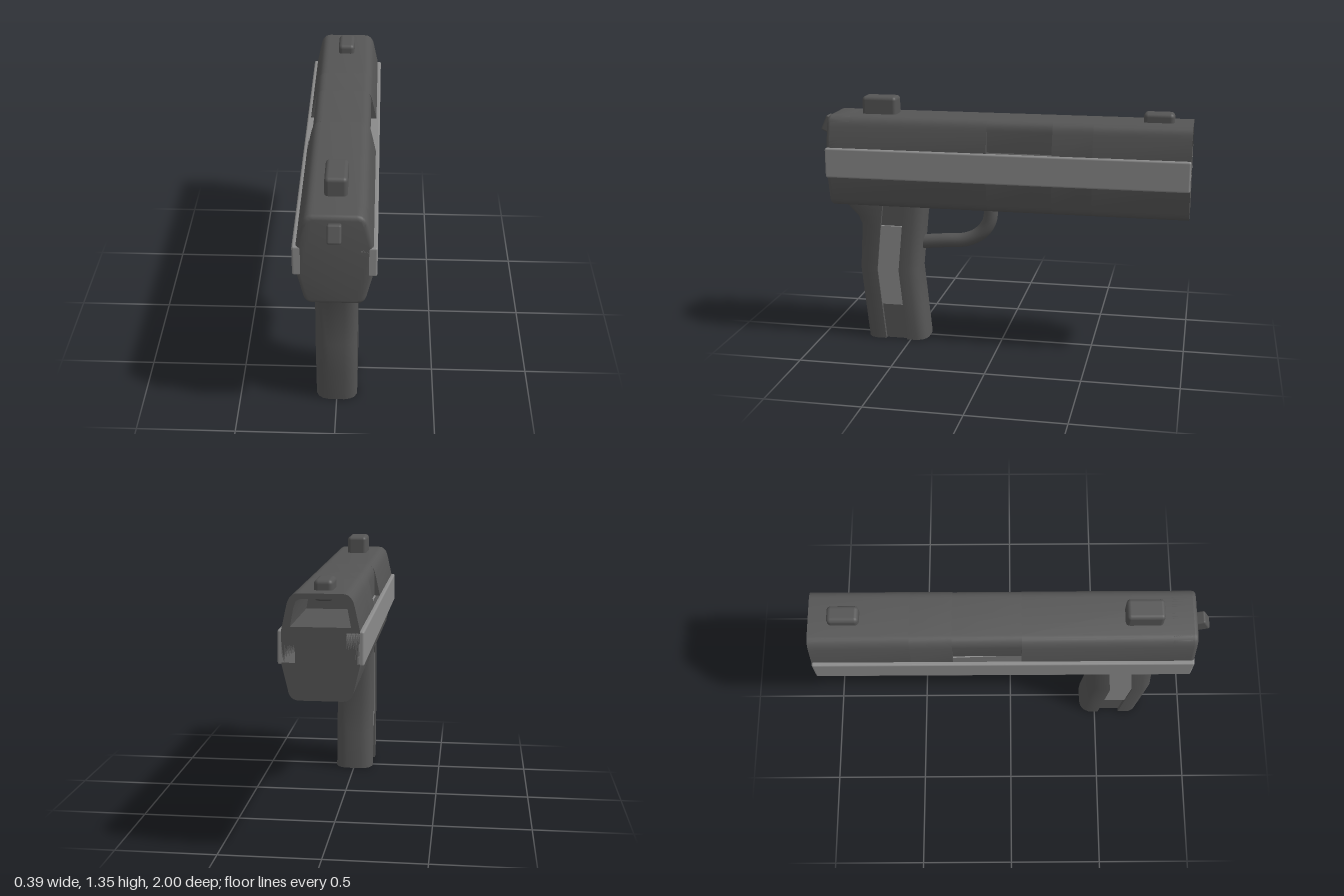
import * as THREE from 'three';
import { toCreasedNormals } from 'three/addons/utils/BufferGeometryUtils.js';
import { RoundedBoxGeometry } from 'three/addons/geometries/RoundedBoxGeometry.js';

const dark = new THREE.MeshStandardMaterial({ color: 0x555555, side: THREE.DoubleSide });
const light = new THREE.MeshStandardMaterial({ color: 0x8a8a8a, side: THREE.DoubleSide });

function add(parent, name, geometry, material, x = 0, y = 0, z = 0) {
  const mesh = new THREE.Mesh(geometry, material);
  mesh.name = name;
  mesh.position.set(x, y, z);
  parent.add(mesh);
  return mesh;
}

// Closed outline mirrored about x = 0 from its right half, listed bottom to top
function mirrored(half) {
  const left = half.map(p => new THREE.Vector2(-p.x, p.y)).reverse();
  return [...half, ...left];
}

// Cross-section of the upper body, optionally cut in at both upper flanks
function bodyShape(notched) {
  const p = new THREE.Path();
  p.moveTo(0.1, 0.765);
  p.quadraticCurveTo(0.145, 0.765, 0.152, 0.82);
  p.lineTo(0.178, 0.93);
  p.lineTo(0.178, 1.09);
  if (notched) {
    p.lineTo(0.148, 1.09);
    p.lineTo(0.148, 1.205);
  } else {
    p.lineTo(0.154, 1.2);
  }
  p.quadraticCurveTo(0.142, 1.257, 0.1, 1.257);
  return new THREE.Shape(mirrored(p.getPoints(6)));
}

function extrudeZ(shape, z0, z1, options = {}) {
  const geo = new THREE.ExtrudeGeometry(shape, { depth: z1 - z0, bevelEnabled: false, ...options });
  geo.translate(0, 0, z0);
  return toCreasedNormals(geo, 0.6);
}

// Grip stations: height, leading edge z, trailing edge z
const stations = [
  [0, 0.41, 0.75], [0.2, 0.43, 0.77], [0.4, 0.45, 0.79], [0.65, 0.425, 0.775],
  [0.70, 0.42, 0.80], [0.74, 0.415, 0.845], [0.79, 0.41, 0.89],
];

// Loft a section of [distance from leading edge, half width] points through stations
function loft(half, rows) {
  const section = [...half, ...half.map(([d, x]) => [d, -x]).reverse()];
  const n = section.length, pos = [], index = [];
  for (const [y, lead, trail] of rows) {
    for (const [d, x] of section) {
      // only the part behind the side groove follows the trailing edge
      const z = d <= 0.23 ? lead + d : lead + 0.23 + (d - 0.23) / 0.11 * (trail - lead - 0.23);
      pos.push(x, y, z);
    }
  }
  for (let i = 0; i < rows.length - 1; i++) {
    for (let j = 0; j < n; j++) {
      const k = (j + 1) % n;
      const a = i * n + j, b = i * n + k, c = b + n, e = a + n;
      index.push(a, e, c, a, c, b);
    }
  }
  // end caps
  const contour = section.map(([d, x]) => new THREE.Vector2(d, x));
  const top = (rows.length - 1) * n;
  for (const [a, b, c] of THREE.ShapeUtils.triangulateShape(contour, [])) {
    index.push(a, c, b, top + a, top + b, top + c);
  }
  const geo = new THREE.BufferGeometry();
  geo.setAttribute('position', new THREE.Float32BufferAttribute(pos, 3));
  geo.setIndex(index);
  return toCreasedNormals(geo, 0.75);
}

export function createModel() {
  const model = new THREE.Group();
  model.name = 'model';

  // Upper body, in lengthwise segments
  const body = new THREE.Group();
  body.name = 'upperBody';
  model.add(body);
  const hollow = bodyShape(false);
  const opening = [[0.138, 1.105], [0.122, 1.19], [0.112, 1.22], [0.09, 1.232]];
  hollow.holes.push(new THREE.Path(mirrored(opening.map(([x, y]) => new THREE.Vector2(x, y)))));
  add(body, 'hollowEnd', extrudeZ(hollow, -1, -0.5), dark);
  add(body, 'middleSection', extrudeZ(bodyShape(false), -0.5, -0.29), dark);
  add(body, 'notchedSection', extrudeZ(bodyShape(true), -0.29, 0.055), dark);
  add(body, 'longSection', extrudeZ(bodyShape(false), 0.055, 0.905), dark);
  add(body, 'bevelledEnd', extrudeZ(bodyShape(false), 0.8, 0.905, {
    bevelEnabled: true, bevelThickness: 0.02, bevelSize: 0.02, bevelOffset: -0.02, bevelSegments: 3,
  }), dark);

  // Side rails
  for (const s of [1, -1]) {
    add(model, s > 0 ? 'leftRail' : 'rightRail',
      new RoundedBoxGeometry(0.09, 0.16, 1.925, 2, 0.01), light, s * 0.152, 1.01, -0.0375);
  }

  // Sights and hammer
  add(model, 'rearSight', new RoundedBoxGeometry(0.108, 0.14, 0.188, 3, 0.02), dark, 0, 1.28, 0.661);
  add(model, 'frontSight', new RoundedBoxGeometry(0.09, 0.1, 0.158, 3, 0.022), dark, 0, 1.256, -0.825);
  const hammer = add(model, 'hammer', new RoundedBoxGeometry(0.066, 0.09, 0.122, 2, 0.01), dark, 0, 1.175, 0.926);
  hammer.rotation.x = -0.42;

  // Grip with a groove down each side, and the inlay that fills it
  add(model, 'grip', loft([
    [0, 0.04], [0.008, 0.07], [0.025, 0.092], [0.055, 0.105], [0.11, 0.105], [0.11, 0.085],
    [0.23, 0.085], [0.23, 0.105], [0.29, 0.105], [0.317, 0.092], [0.333, 0.07], [0.34, 0.04],
  ], stations), dark);
  add(model, 'gripInlay', loft([[0.11, 0.098], [0.23, 0.098]], stations.slice(1, 4)), light);

  // Guard loop
  const path = new THREE.CatmullRomCurve3([
    [0.5, 0.54], [0.32, 0.558], [0.2, 0.57], [0.12, 0.61], [0.07, 0.68], [0.06, 0.8],
  ].map(([z, y]) => new THREE.Vector3(0, y, z)));
  add(model, 'guard', new THREE.TubeGeometry(path, 24, 0.039, 16), dark);

  return model;
}
